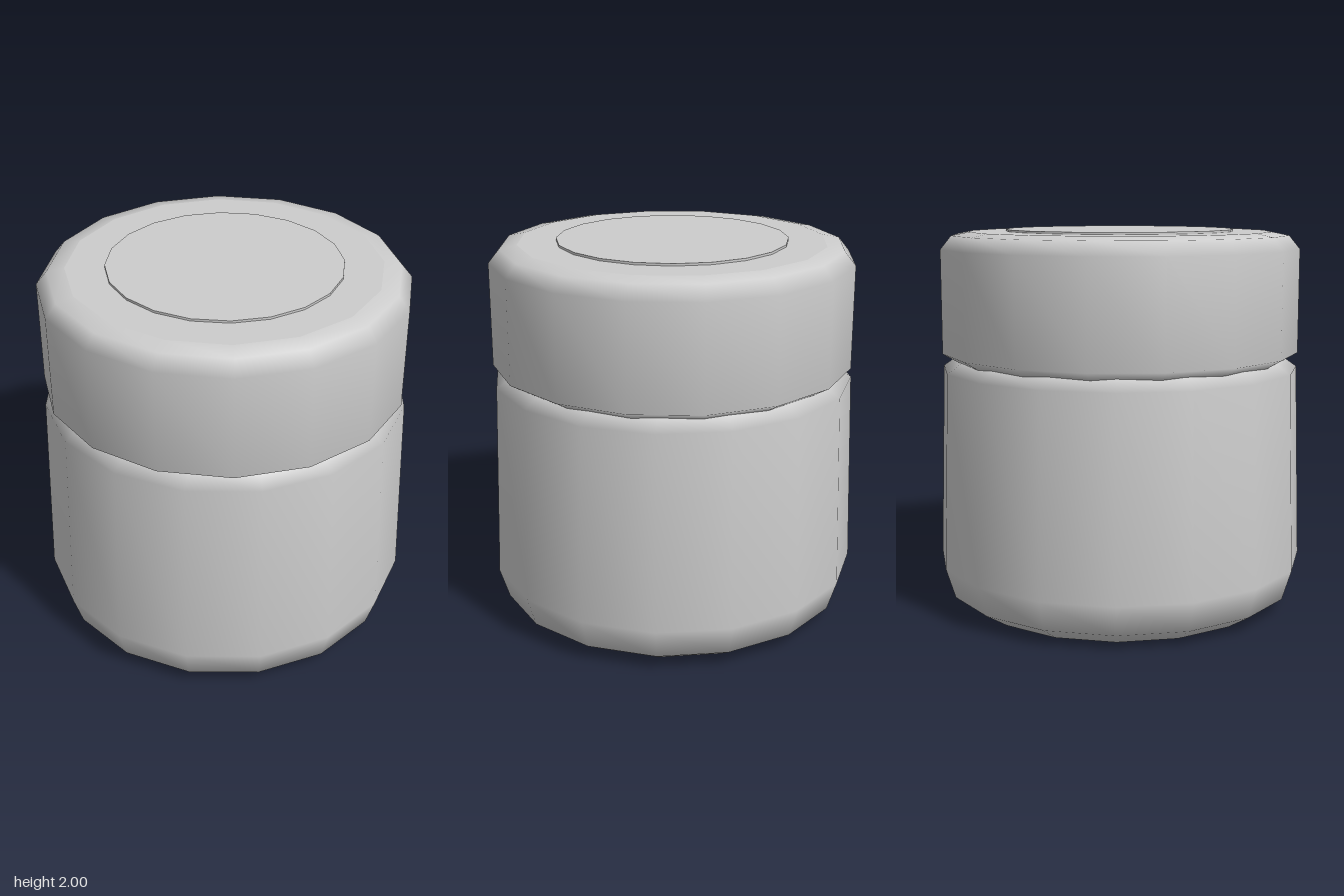
import * as THREE from 'three';

const grey = new THREE.MeshStandardMaterial({ color: 0xcccccc });
grey.name = 'pale grey';

// Revolves [radius, height] points, listed upwards on the outside
function turned(name, points, sides, phase = 0) {
  const profile = points.map(([r, y]) => new THREE.Vector2(r, y));
  const mesh = new THREE.Mesh(new THREE.LatheGeometry(profile, sides, phase), grey);
  mesh.name = name;
  return mesh;
}

export function createModel() {
  const model = new THREE.Group();
  model.name = 'jar';
  const twist = THREE.MathUtils.degToRad(8.2);

  // Slightly tapering body with a rounded foot and shoulder
  const body = new THREE.Group();
  body.name = 'body';
  body.add(
    turned('bodyBase', [[0, 0], [0.8, 0]], 16, twist),
    turned('bodyWall', [[0.8, 0], [0.93, 0.08], [0.98, 0.24], [0.948, 1.27], [0.87, 1.325]], 16, twist),
    turned('bodyTop', [[0.87, 1.325], [0, 1.325]], 16, twist),
  );

  // Lid with bevelled edges, meeting the body in a narrow groove
  const lid = new THREE.Group();
  lid.name = 'lid';
  lid.add(
    turned('lidUnderside', [[0, 1.315], [0.87, 1.315]], 16),
    turned('lidWall', [[0.87, 1.315], [0.947, 1.36], [0.947, 1.9], [0.89, 1.97], [0.8, 1.988]], 16),
    turned('lidTop', [[0.8, 1.988], [0, 1.988]], 16),
  );

  // Thin round disc on the lid
  const disc = new THREE.Mesh(new THREE.CylinderGeometry(0.6, 0.6, 0.016, 20), grey);
  disc.name = 'lidDisc';
  disc.position.y = 1.992;
  lid.add(disc);

  model.add(body, lid);
  return model;
}
